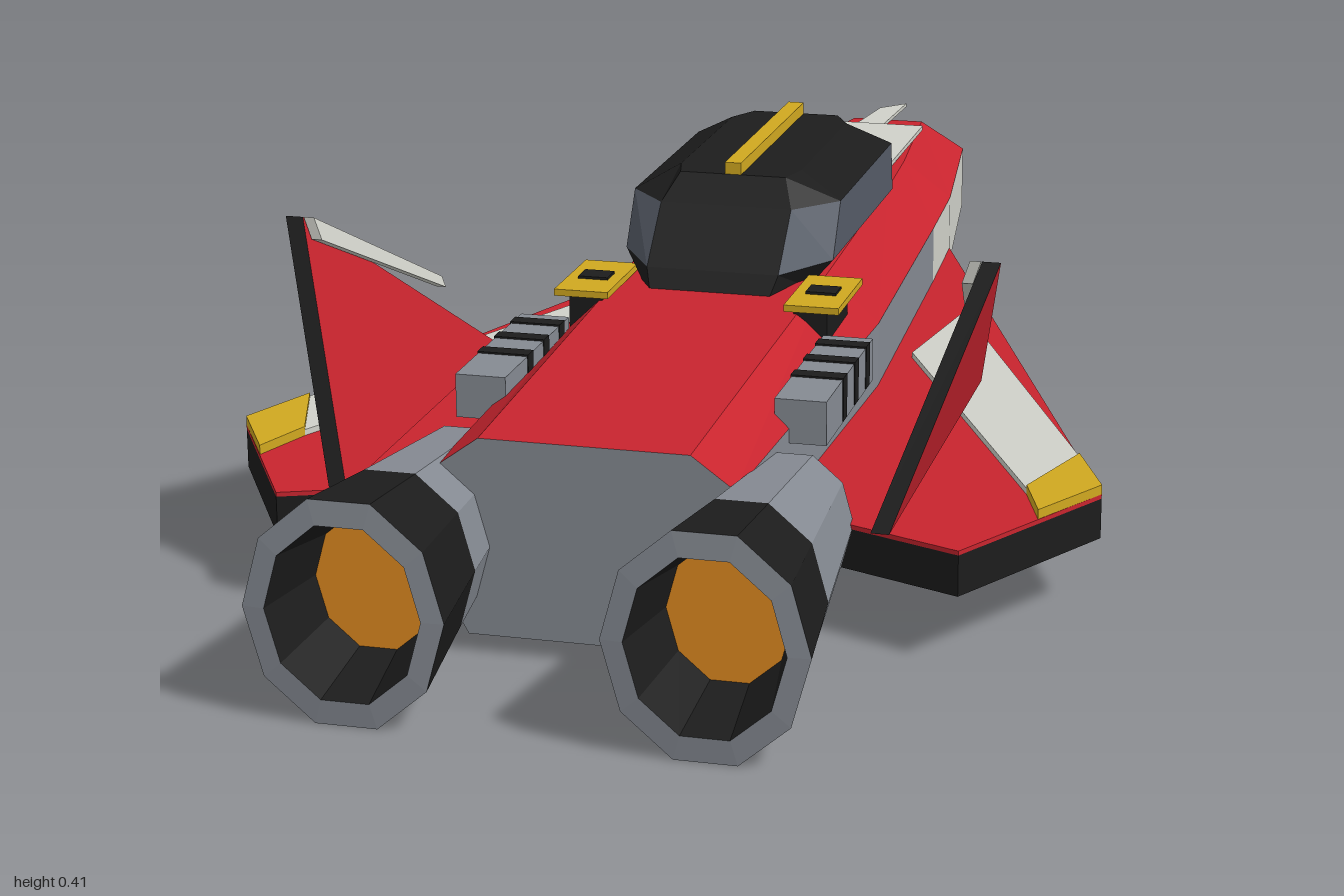
import * as THREE from 'three';

const mat = (color) => new THREE.MeshStandardMaterial({ color, flatShading: true, side: THREE.DoubleSide });
const red = mat(0xc8242e), black = mat(0x1c1c1c), grey = mat(0x858a92), white = mat(0xd0d1c9);
const gold = mat(0xd0a820), orange = mat(0xe08a20), glass = mat(0x555b66);

export function createModel() {
  const model = new THREE.Group();
  const add = (name, geometry, material) => {
    const mesh = new THREE.Mesh(geometry, material);
    mesh.name = name;
    model.add(mesh);
    return mesh;
  };

  // Surface over a grid of points: rows run along the axis, columns counterclockwise round it
  const skin = (rows, cols) => {
    const p = [];
    for (let i = 0; i + 1 < rows.length; i++) {
      for (let j = 0; j + 1 < cols.length; j++) {
        const a = rows[i][cols[j]], b = rows[i][cols[j + 1]];
        const d = rows[i + 1][cols[j]], c = rows[i + 1][cols[j + 1]];
        p.push(...a, ...b, ...d, ...b, ...c, ...d);
      }
    }
    return finish(p);
  };
  // Flat cap closing a ring
  const cap = (ring, flip = false) => {
    const p = [];
    for (let i = 1; i + 1 < ring.length; i++) {
      p.push(...ring[0], ...ring[flip ? i + 1 : i], ...ring[flip ? i : i + 1]);
    }
    return finish(p);
  };
  const finish = (p) => {
    const g = new THREE.BufferGeometry();
    g.setAttribute('position', new THREE.Float32BufferAttribute(p, 3));
    g.computeVertexNormals();
    return g;
  };
  // Horizontal slab from [x, z] corners
  const slab = (points, y, height, s = 1) => {
    const shape = new THREE.Shape(points.map(([x, z]) => new THREE.Vector2(x * s, -z)));
    return new THREE.ExtrudeGeometry(shape, { depth: height, bevelEnabled: false })
      .rotateX(-Math.PI / 2).translate(0, y, 0);
  };
  // Outward-leaning upright slab from [z, y] corners
  const leaning = (points, x0, thickness, s) => {
    const shape = new THREE.Shape(points.map(([z, y]) => new THREE.Vector2(-z, y)));
    const g = new THREE.ExtrudeGeometry(shape, { depth: thickness, bevelEnabled: false })
      .rotateY(Math.PI / 2).translate(-thickness / 2, 0, 0);
    const pos = g.attributes.position;
    for (let i = 0; i < pos.count; i++) {
      pos.setX(i, pos.getX(i) + s * (x0 + (pos.getY(i) - 0.145) * 0.34));
    }
    g.computeVertexNormals();
    return g;
  };
  const box = (name, material, w, h, d, x, y, z) =>
    add(name, new THREE.BoxGeometry(w, h, d).translate(x, y, z), material);

  // Hull sections: z, top half-width, top y, side half-width, shoulder y, sill y, belly half-width, belly y
  const hull = [
    [-1, 0.012, 0.15, 0.02, 0.142, 0.112, 0.015, 0.1],
    [-0.77, 0.05, 0.23, 0.112, 0.193, 0.108, 0.08, 0.073],
    [-0.47, 0.085, 0.246, 0.15, 0.198, 0.104, 0.11, 0.04],
    [-0.3, 0.098, 0.252, 0.16, 0.2, 0.1, 0.125, 0.02],
    [0.16, 0.12, 0.264, 0.182, 0.204, 0.085, 0.142, 0],
    [0.78, 0.115, 0.24, 0.163, 0.205, 0.08, 0.13, 0.02],
  ].map(([z, a, yt, b, ys, yl, c, yb]) => [
    [a, yt, z], [-a, yt, z], [-b, ys, z], [-b, yl, z],
    [-c, yb, z], [c, yb, z], [b, yl, z], [b, ys, z],
  ]);
  add('upperHull', skin(hull, [7, 0, 1, 2]), red);
  add('belly', skin(hull, [3, 4, 5, 6]), black);
  for (const cols of [[2, 3], [6, 7]]) {
    add('noseSide', skin(hull.slice(0, 4), cols), white);
    add('hullSide', skin(hull.slice(3), cols), grey);
  }
  add('noseTip', cap(hull[0], true), red);
  add('rearBulkhead', cap(hull[5]), grey);

  // Canopy levels: y, half-width, front half-width, rear half-width, then four z stations
  const canopy = [
    [0.25, 0.1, 0.06, 0.07, -0.365, -0.18, 0.18, 0.27],
    [0.282, 0.128, 0.065, 0.08, -0.335, -0.18, 0.17, 0.25],
    [0.345, 0.128, 0.065, 0.08, -0.23, -0.17, 0.13, 0.185],
    [0.375, 0.075, 0.055, 0.065, -0.18, -0.14, 0.11, 0.15],
  ].map(([y, w, wf, wr, z0, z1, z2, z3]) => [
    [w, y, z2], [w, y, z1], [wf, y, z0], [-wf, y, z0],
    [-w, y, z1], [-w, y, z2], [-wr, y, z3], [wr, y, z3],
  ]);
  const around = [0, 1, 2, 3, 4, 5, 6, 7, 0];
  add('canopySill', skin(canopy.slice(0, 2), around), black);
  add('canopyShoulder', skin(canopy.slice(2), around), black);
  add('canopyRoof', cap(canopy[3]), black);
  add('windscreen', skin(canopy.slice(1, 3), [2, 3]), black);
  add('canopyRear', skin(canopy.slice(1, 3), [6, 7]), black);
  add('rightWindows', skin(canopy.slice(1, 3), [3, 4, 5, 6]), glass);
  add('leftWindows', skin(canopy.slice(1, 3), [7, 0, 1, 2]), glass);
  box('canopyRidge', gold, 0.02, 0.017, 0.33, 0, 0.381, -0.015);

  // Plates on the nose
  box('nosePanel', white, 0.15, 0.006, 0.23, 0, 0.25, -0.535);
  add('noseMarker', slab([[-0.035, -0.69], [0.005, -0.69], [0.012, -0.845], [-0.02, -0.81]], 0.233, 0.005), white);

  const wing = [[0.1, -0.47], [0.15, -0.47], [0.5, 0.48], [0.38, 0.69], [0.18, 0.61], [0.1, 0.61]];
  for (const s of [1, -1]) {
    // Wing with coloured panels
    add('wing', slab(wing, 0.075, 0.046, s), black);
    add('wingSkin', slab(wing, 0.121, 0.005, s), red);
    add('wingPanel', slab([[0.23, -0.15], [0.46, 0.38], [0.42, 0.5], [0.2, 0.04]], 0.126, 0.007, s), white);
    add('wingTip', slab([[0.46, 0.38], [0.5, 0.48], [0.445, 0.575], [0.42, 0.5]], 0.126, 0.011, s), gold);

    // Tail fin with a strip by its leading edge
    add('tailFin', leaning([[0.71, 0.145], [0.17, 0.145], [0.58, 0.41]], 0.3, 0.02, s), [red, black]);
    add('finStrip', leaning([[0.58, 0.41], [0.3, 0.268], [0.3, 0.255], [0.58, 0.385]], 0.283, 0.012, s), white);

    // Deck hatch and ribbed vent
    box('deckHatch', gold, 0.065, 0.008, 0.13, s * 0.138, 0.267, 0.265);
    box('hatchLatch', black, 0.036, 0.008, 0.03, s * 0.138, 0.27, 0.265);
    box('hatchBase', black, 0.04, 0.05, 0.11, s * 0.135, 0.238, 0.265);
    box('vent', grey, 0.058, 0.05, 0.24, s * 0.182, 0.213, 0.45);
    for (const z of [0.36, 0.42, 0.48]) box('ventRib', black, 0.06, 0.05, 0.02, s * 0.182, 0.215, z);

    // Engine: ten-sided shells turned about z, slightly taller than wide
    const engine = new THREE.Group();
    engine.name = 'engine';
    engine.position.set(s * 0.187, 0.12, 0);
    engine.scale.y = 1.18;
    model.add(engine);
    const shells = [
      ['engineBody', grey, [[0, 0.62], [0.066, 0.62], [0.09, 0.85]]],
      ['nozzle', black, [[0.09, 0.85], [0.107, 0.998]]],
      ['nozzleRim', grey, [[0.107, 0.998], [0.083, 1]]],
      ['nozzleLining', black, [[0.083, 1], [0.066, 0.9]]],
      ['exhaustGlow', orange, [[0.066, 0.9], [0, 0.9]]],
    ];
    for (const [name, material, profile] of shells) {
      const g = new THREE.LatheGeometry(profile.map(([r, z]) => new THREE.Vector2(r, z)), 10)
        .rotateX(Math.PI / 2).rotateZ(Math.PI / 2);
      const mesh = new THREE.Mesh(g, material);
      mesh.name = name;
      engine.add(mesh);
    }
  }
  return model;
}
